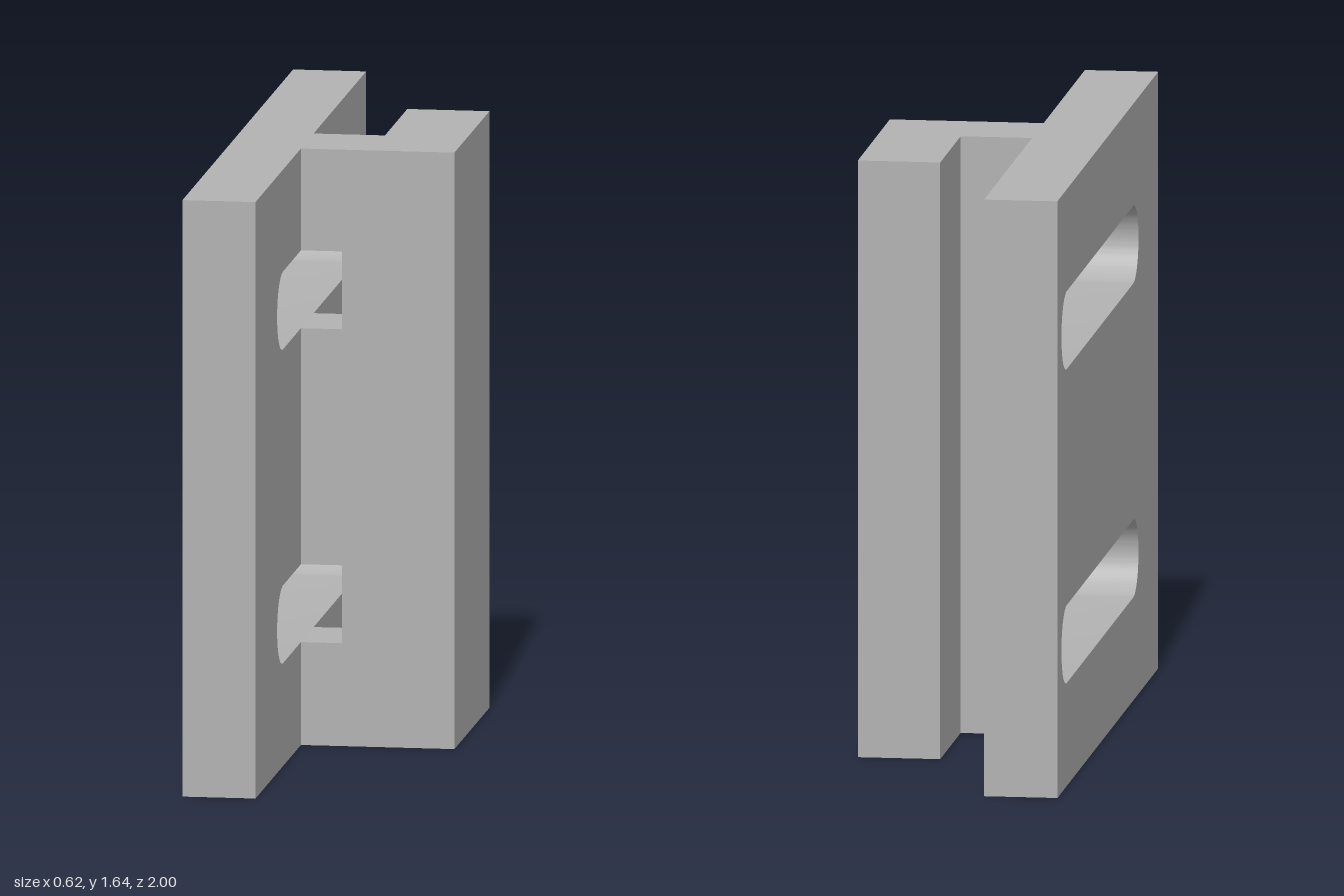
import * as THREE from 'three';
import { toCreasedNormals } from 'three/addons/utils/BufferGeometryUtils.js';

const HEIGHT = 1.64;
const SLOT_CENTRES = [0.39, 1.253];
const SLOT_R = 0.107;
const PLATE_BACK = -0.31, PLATE_FACE = -0.11;
const ARM_OUTER = 0.31, ARM_FRONT = 0.18, ARM_REAR = -0.05;

export function createModel() {
  const group = new THREE.Group();
  const grey = new THREE.MeshStandardMaterial({ color: 0xb2b2b2 });
  grey.name = 'plain grey';

  const add = (name, geometry) => {
    const mesh = new THREE.Mesh(geometry, grey);
    mesh.name = name;
    group.add(mesh);
    return mesh;
  };
  const extrude = (shape, depth) => new THREE.ExtrudeGeometry(shape, { depth, bevelEnabled: false, curveSegments: 24 });

  // Mounting plate with two round-ended slots, drawn in (-z, y) and extruded along x
  const plate = new THREE.Shape([[-1, 0], [1, 0], [1, HEIGHT], [-1, HEIGHT]].map(p => new THREE.Vector2(...p)));
  for (const y of SLOT_CENTRES) {
    const slot = new THREE.Path();
    slot.absarc(0.92 - SLOT_R, y, SLOT_R, Math.PI / 2, -Math.PI / 2, true);
    slot.absarc(-0.61 + SLOT_R, y, SLOT_R, -Math.PI / 2, -Math.PI * 1.5, true);
    slot.closePath();
    plate.holes.push(slot);
  }
  const plateGeometry = extrude(plate, PLATE_FACE - PLATE_BACK);
  plateGeometry.rotateY(Math.PI / 2).translate(PLATE_BACK, 0, 0);
  add('slottedPlate', toCreasedNormals(plateGeometry, 0.5));

  // Arm standing out from the plate, notched where the slots pass through it
  const arm = new THREE.Shape();
  arm.moveTo(ARM_OUTER, 0);
  arm.lineTo(ARM_OUTER, HEIGHT);
  arm.lineTo(PLATE_FACE, HEIGHT);
  for (const y of [...SLOT_CENTRES].reverse()) {
    arm.lineTo(PLATE_FACE, y + SLOT_R);
    arm.lineTo(0.003, y + SLOT_R);
    arm.lineTo(0.003, y - SLOT_R);
    arm.lineTo(PLATE_FACE, y - SLOT_R);
  }
  arm.lineTo(PLATE_FACE, 0);
  arm.closePath();
  add('notchedArm', extrude(arm, ARM_FRONT - ARM_REAR)).position.z = ARM_REAR;

  // Lip turned back from the outer end of the arm
  const lipInner = 0.085, lipRear = -0.455;
  add('hookLip', new THREE.BoxGeometry(ARM_OUTER - lipInner, HEIGHT, ARM_REAR - lipRear))
    .position.set((ARM_OUTER + lipInner) / 2, HEIGHT / 2, (ARM_REAR + lipRear) / 2);

  return group;
}
